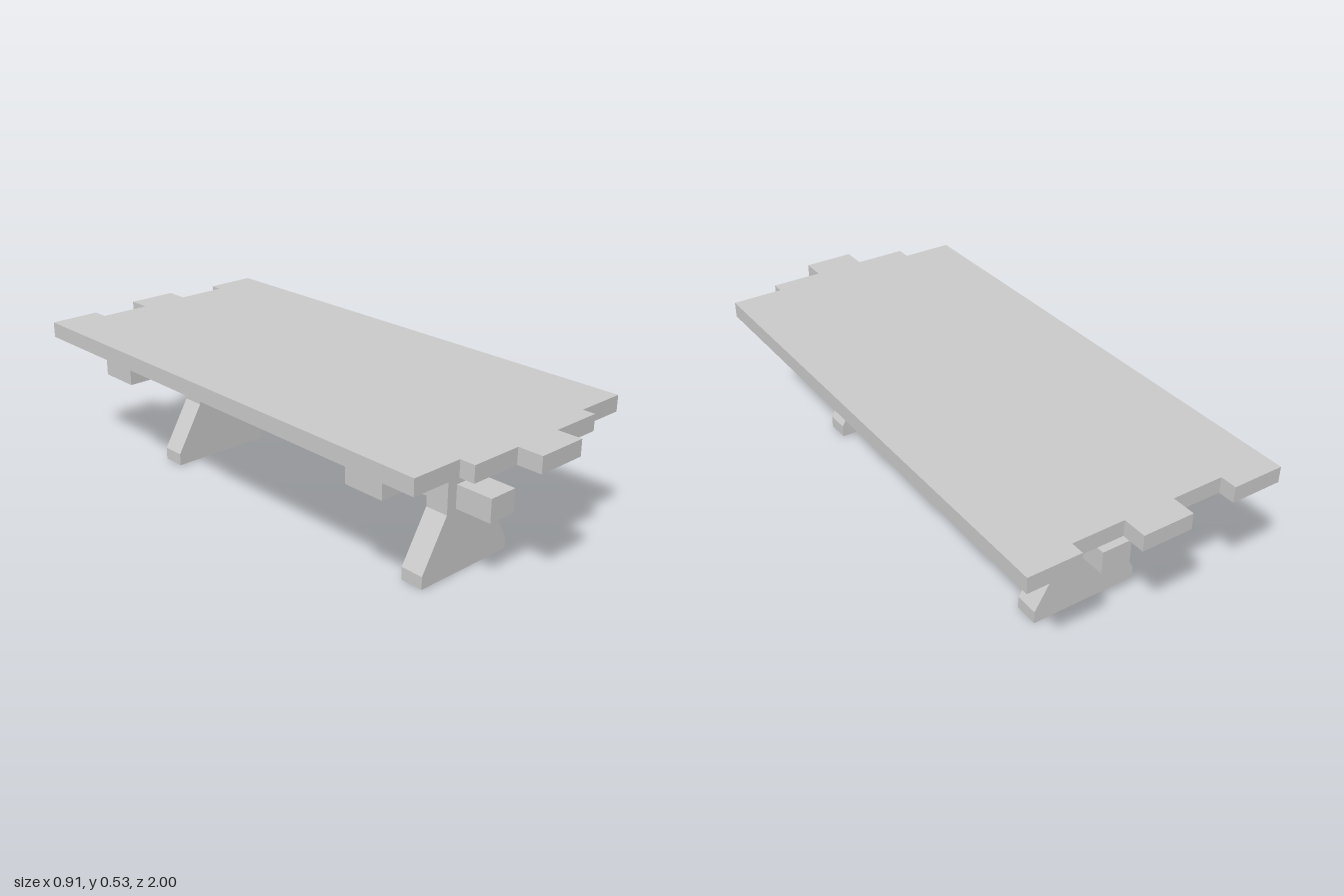
import * as THREE from 'three';

export function createModel() {
  const group = new THREE.Group();
  const material = new THREE.MeshStandardMaterial({ color: 0xcccccc, flatShading: true });

  const add = (name, geometry) => {
    const mesh = new THREE.Mesh(geometry, material);
    mesh.name = name;
    group.add(mesh);
    return mesh;
  };
  // Box given by its minimum and maximum on each axis
  const box = (name, [x0, x1], [y0, y1], [z0, z1]) =>
    add(name, new THREE.BoxGeometry(x1 - x0, y1 - y0, z1 - z0))
      .position.set((x0 + x1) / 2, (y0 + y1) / 2, (z0 + z1) / 2);

  // Table top: five planks of uneven length
  const planks = [
    ['outerPlankRight', -0.458, -0.275, -0.976, 0.859],
    ['innerPlankRight', -0.275, -0.091, -0.917, 0.913],
    ['middlePlank', -0.091, 0.089, -1, 1],
    ['innerPlankLeft', 0.089, 0.273, -0.917, 0.913],
    ['outerPlankLeft', 0.273, 0.457, -0.964, 0.868],
  ];
  for (const [name, x0, x1, z0, z1] of planks) box(name, [x0, x1], [0.472, 0.528], [z0, z1]);

  // Flared trestle leg outline
  const outline = new THREE.Shape([
    [-0.199, 0], [0.197, 0], [0.197, 0.045], [0.094, 0.22],
    [0.094, 0.388], [-0.096, 0.388], [-0.096, 0.22], [-0.199, 0.045],
  ].map(([x, y]) => new THREE.Vector2(x, y)));
  const legDepth = 0.086;
  const legGeometry = new THREE.ExtrudeGeometry(outline, { depth: legDepth, bevelEnabled: false });
  legGeometry.translate(0, 0, -legDepth / 2);

  // Trestles with a cross bearer at each end
  for (const [end, side] of [['front', 1], ['back', -1]]) {
    const z = side * 0.623;
    add(end + 'Leg', legGeometry).position.z = z;
    box(end + 'Bearer', [-0.414, 0.393], [0.388, 0.472], [z - 0.075, z + 0.075]);
  }

  // Long stretcher through both legs
  box('stretcher', [-0.056, 0.054], [0.23, 0.313], [-0.8, 0.803]);

  return group;
}
